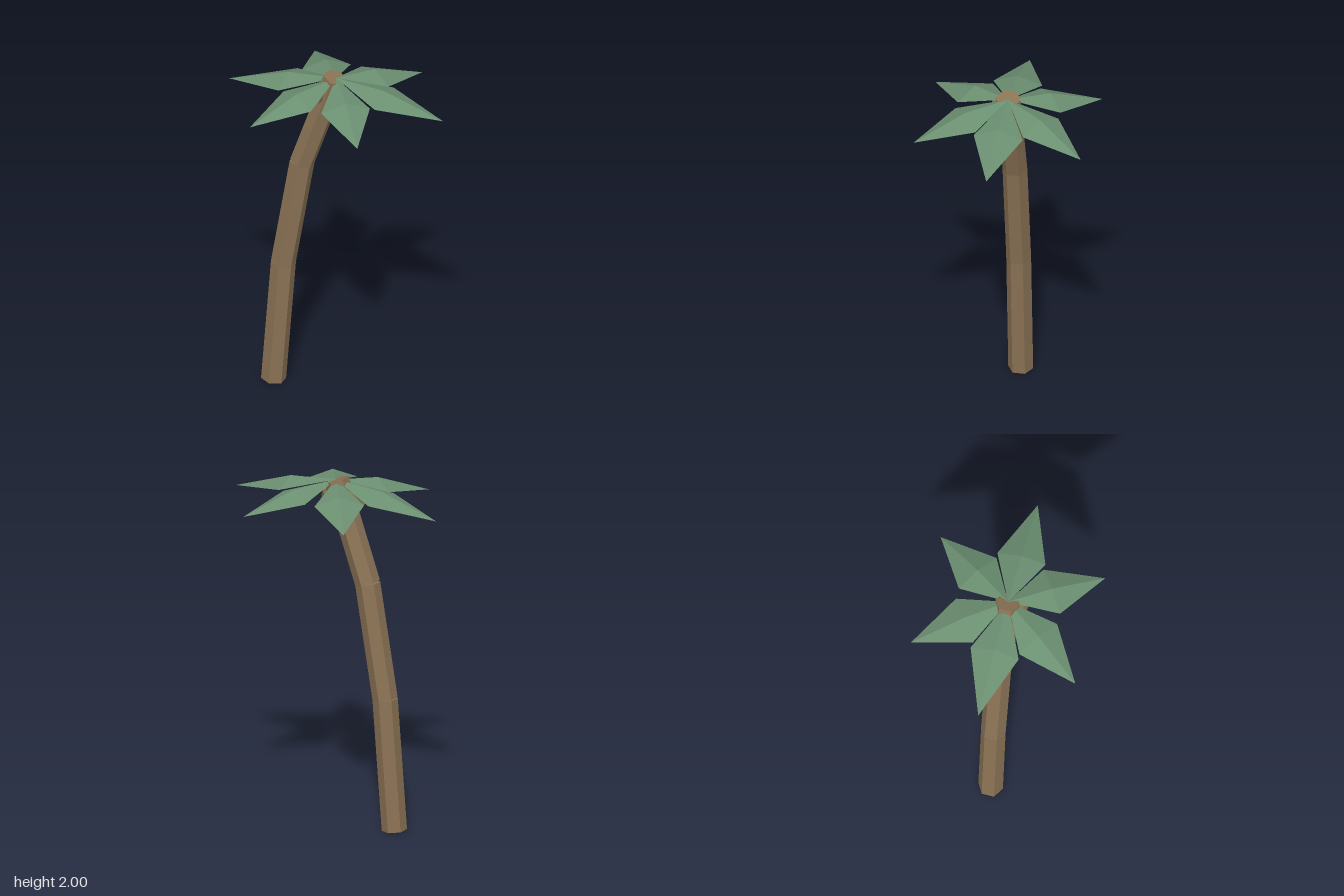
import * as THREE from 'three';

const mat = (name, color) => {
  const m = new THREE.MeshStandardMaterial({ color, flatShading: true });
  m.name = name;
  return m;
};

// One frond: a folded diamond with a raised midrib, running out along +x
function frondGeometry(length) {
  const mid = length * 0.45, w = 0.137;
  const base = [0, 0, 0], rib = [mid, -0.022, 0], tip = [length, -0.138, 0];
  const left = [mid, -0.07, -w], right = [mid, -0.07, w];
  const faces = [base, rib, left, base, right, rib, rib, tip, left, rib, right, tip];
  const g = new THREE.BufferGeometry();
  g.setAttribute('position', new THREE.Float32BufferAttribute(faces.flat(), 3));
  g.computeVertexNormals();
  return g;
}

export function createModel() {
  const group = new THREE.Group();
  const bark = mat('bark', 0x8b7355);
  const shell = mat('coconut shell', 0x8b6f50);
  const leaf = mat('leaf green', 0x6b8f71);
  leaf.side = THREE.DoubleSide;

  const add = (name, geometry, material, x, y, z) => {
    const mesh = new THREE.Mesh(geometry, material);
    mesh.name = name;
    mesh.position.set(x, y, z);
    group.add(mesh);
    return mesh;
  };

  // Trunk: straight hexagonal lengths, each leaning further over
  const joints = [[-0.372, 0.007], [-0.313, 0.757], [-0.202, 1.409], [-0.003, 1.979]];
  for (let i = 0; i < 3; i++) {
    const [x0, y0] = joints[i], [x1, y1] = joints[i + 1];
    const g = new THREE.CylinderGeometry(0.07, 0.07, Math.hypot(x1 - x0, y1 - y0), 6);
    const seg = add('trunkSegment' + (i + 1), g, bark, (x0 + x1) / 2, (y0 + y1) / 2, 0);
    seg.rotation.z = -Math.atan2(x1 - x0, y1 - y0);
  }

  // Crown of six fronds, the four diagonal ones a little shorter
  [0, 55.7, 124.3, 180, 235.7, 304.3].forEach((deg, i) => {
    const frond = add('frond' + (i + 1), frondGeometry(i % 3 ? 0.568 : 0.638), leaf, 0, 1.978, 0);
    frond.rotation.y = THREE.MathUtils.degToRad(deg);
  });

  // Coconuts, each standing on a corner
  const nut = new THREE.IcosahedronGeometry(0.069, 0);
  nut.rotateX(-Math.atan((1 + Math.sqrt(5)) / 2));
  add('rightCoconut', nut, shell, -0.105, 1.879, 0.05);
  add('leftCoconut', nut, shell, 0.052, 1.879, 0.05);

  return group;
}
